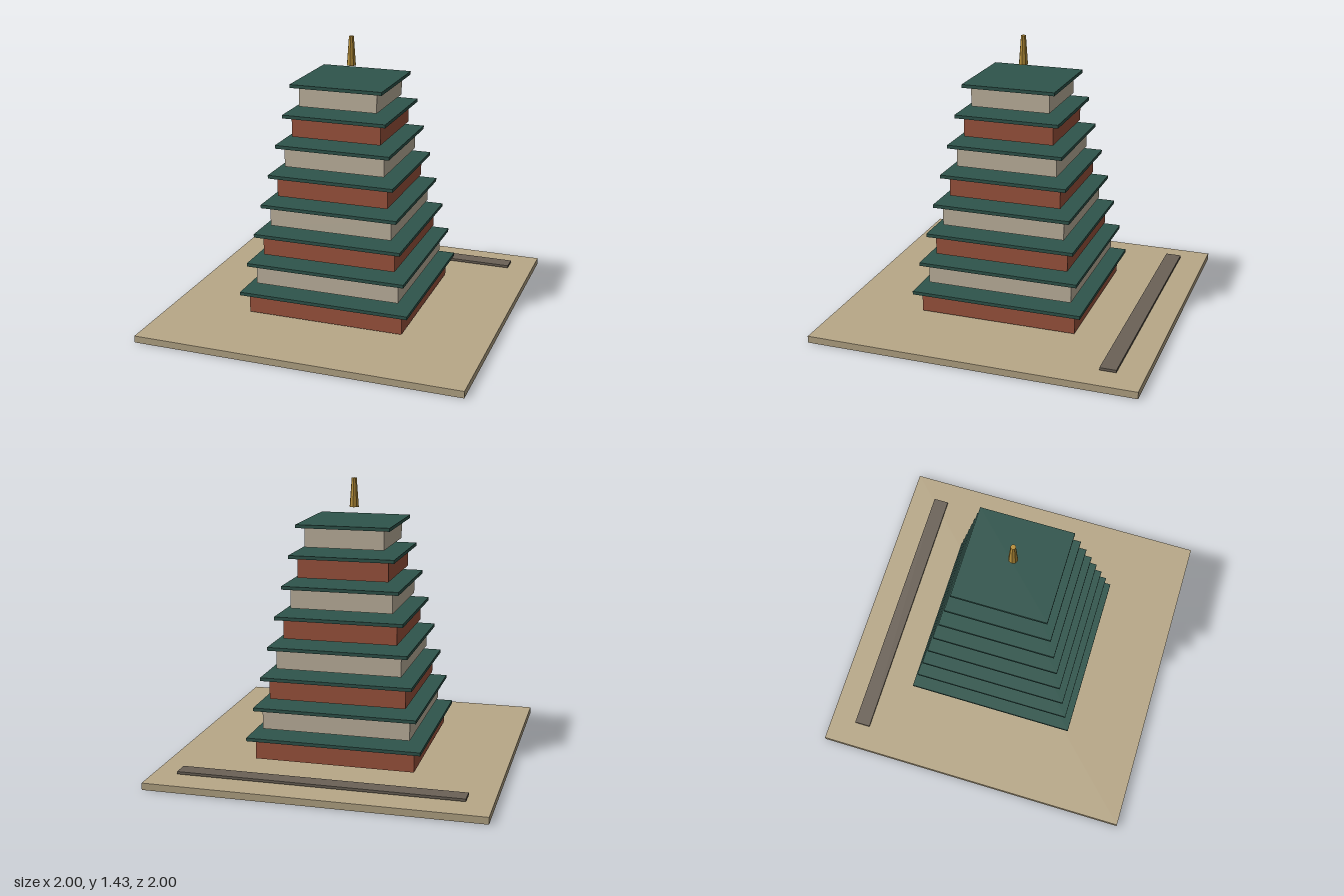
import * as THREE from 'three';

const paint = (color) => new THREE.MeshStandardMaterial({ color, flatShading: true });

export function createModel() {
  const model = new THREE.Group();
  model.name = 'pagoda';
  model.rotation.y = -0.221;

  const sand = paint(0xb8a888);
  const stone = paint(0x6b6257);
  const brick = paint(0xa0563f);
  const plaster = paint(0xc4b8a3);
  const tile = paint(0x2f554c);
  const gold = paint(0xb8903a);

  // Box given by its bottom and top heights
  function slab(name, material, width, depth, bottom, top, z = 0) {
    const mesh = new THREE.Mesh(new THREE.BoxGeometry(width, top - bottom, depth), material);
    mesh.name = name;
    mesh.position.set(0, (bottom + top) / 2, z);
    model.add(mesh);
  }

  // Ground and the path behind the tower
  slab('groundPlate', sand, 1.674, 1.674, 0, 0.035);
  slab('path', stone, 1.42, 0.082, 0.043, 0.056, -0.66);

  // Eight shrinking storeys, each a wall block under an overhanging roof
  const storeys = 8;
  for (let i = 0; i < storeys; i++) {
    const y = 0.048 + i * 0.1506;
    const wall = 0.812 - i * 0.0581;
    const roof = 0.887 - i * 0.0585;
    slab(`wall${i + 1}`, i % 2 ? plaster : brick, wall, wall, y, y + 0.1);
    slab(`roof${i + 1}`, tile, roof, roof, y + 0.1, y + 0.117);
  }

  // Tapered finial floating over the top roof
  const finial = new THREE.Mesh(new THREE.CylinderGeometry(0.013, 0.024, 0.147, 8), gold);
  finial.name = 'finial';
  finial.position.y = 1.358;
  model.add(finial);

  const group = new THREE.Group();
  group.add(model);
  return group;
}
